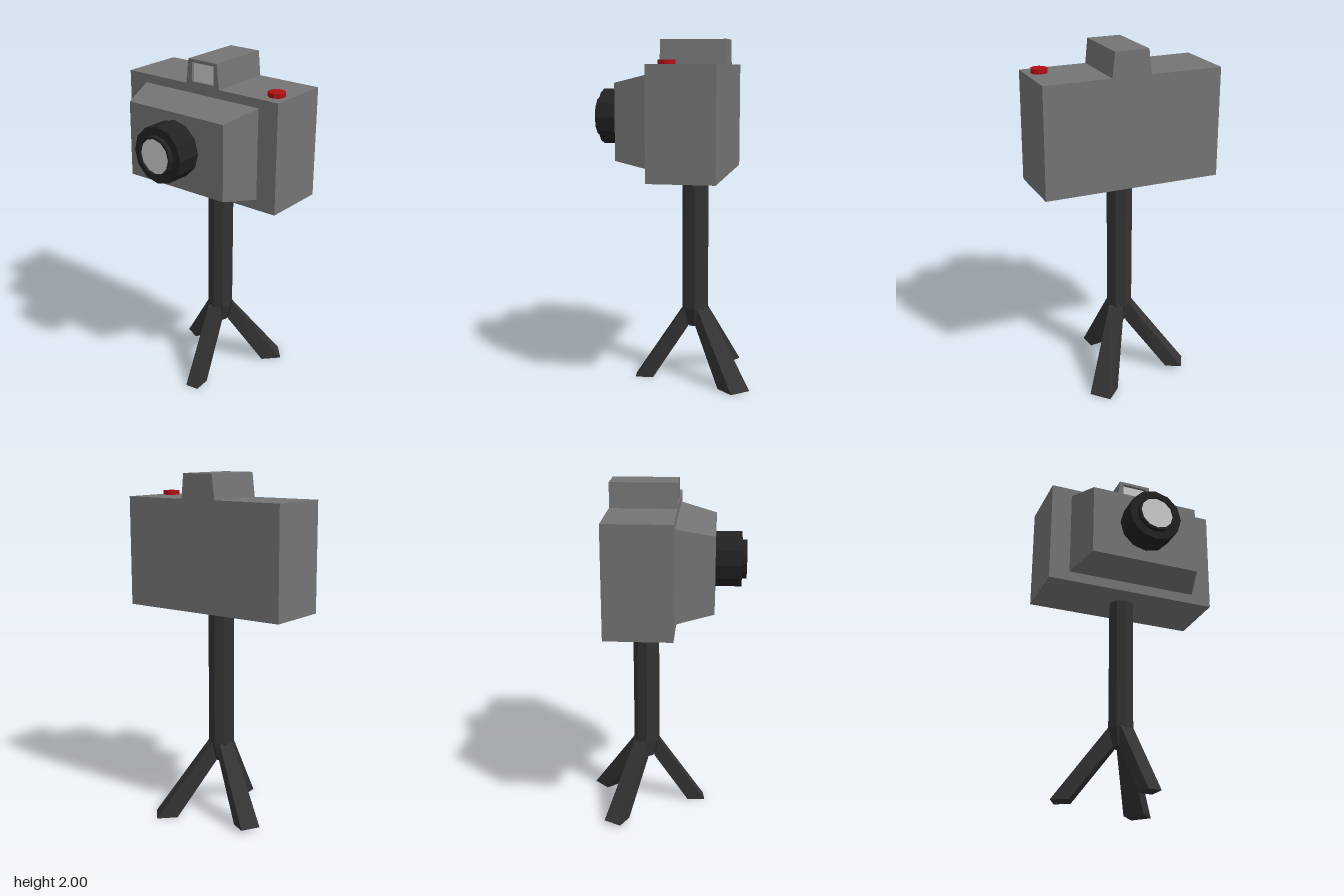
import * as THREE from 'three';
import { ConvexGeometry } from 'three/addons/geometries/ConvexGeometry.js';

const mat = (color, side = THREE.FrontSide) =>
  new THREE.MeshStandardMaterial({ color, flatShading: true, side });

export function createModel() {
  const model = new THREE.Group();
  const grey = mat(0x747474);
  const black = mat(0x333333);
  const lensBlack = mat(0x222222, THREE.DoubleSide);
  const glass = mat(0xcccccc);
  const red = mat(0xb01015);

  const add = (name, geometry, material, x = 0, y = 0, z = 0, parent = model) => {
    const mesh = new THREE.Mesh(geometry, material);
    mesh.name = name;
    mesh.position.set(x, y, z);
    parent.add(mesh);
    return mesh;
  };
  const hull = (points) => new ConvexGeometry(points.map((p) => new THREE.Vector3(...p)));
  const rect = (x0, x1, y0, y1, z) => [[x0, y0, z], [x1, y0, z], [x1, y1, z], [x0, y1, z]];

  // Camera body and the tapered lens plate
  add('cameraBody', new THREE.BoxGeometry(1.035, 0.63, 0.38), grey, 0, 1.545, -0.115);
  add('lensPlate', hull([
    ...rect(-0.395, 0.395, 1.29, 1.81, 0.075),
    ...rect(-0.328, 0.328, 1.33, 1.76, 0.288),
  ]), grey);

  // Viewfinder: trapezoid prism with a recessed window
  const outline = () => new THREE.Shape([[-0.097, 1.86], [0.131, 1.86], [0.117, 2], [-0.08, 2]]
    .map(([x, y]) => new THREE.Vector2(x, y)));
  const extrude = (shape, depth) =>
    new THREE.ExtrudeGeometry(shape, { depth, bevelEnabled: false });
  const frame = outline();
  frame.holes.push(new THREE.Path([[-0.055, 1.875], [-0.055, 1.982], [0.095, 1.982], [0.095, 1.875]]
    .map(([x, y]) => new THREE.Vector2(x, y))));
  const finder = new THREE.Group();
  finder.name = 'viewfinder';
  model.add(finder);
  add('viewfinderHousing', extrude(outline(), 0.36), grey, 0, 0, -0.305, finder);
  add('viewfinderFrame', extrude(frame, 0.02), grey, 0, 0, 0.055, finder);
  add('viewfinderWindow', new THREE.PlaneGeometry(0.15, 0.107), glass, 0.02, 1.9285, 0.057, finder);

  // Lens barrel with a stepped front ring
  const barrel = [[0.16, 0.28], [0.16, 0.435], [0.113, 0.435], [0.113, 0.463], [0.1, 0.463], [0.1, 0.44]]
    .map(([r, z]) => new THREE.Vector2(r, z));
  add('lensBarrel', new THREE.LatheGeometry(barrel, 12).rotateX(Math.PI / 2), lensBlack, 0, 1.56, 0);
  add('lensGlass', new THREE.CircleGeometry(0.1, 12), glass, 0, 1.56, 0.45);

  // Shutter button
  add('shutterButton', new THREE.CylinderGeometry(0.048, 0.048, 0.025, 10).rotateY(Math.PI / 2),
    red, 0.438, 1.8725, -0.027);

  // Tripod column, narrowing where the legs join
  const cx = 0.004, cz = -0.112, turn = 0.09;
  add('tripodColumn', new THREE.CylinderGeometry(0.076, 0.076, 0.81, 8).rotateY(turn), black, cx, 0.835, cz);
  add('legJoint', new THREE.CylinderGeometry(0.076, 0.048, 0.11, 8).rotateY(turn), black, cx, 0.375, cz);

  // Splayed legs: each foot is given by its four [x, z] corners and height
  const legs = [
    { name: 'frontLeg', y: 0, foot: [[0.01, 0.14], [0.09, 0.13], [0.02, 0.245], [0.1, 0.235]] },
    { name: 'backLeftLeg', y: 0, foot: [[0.13, -0.38], [0.215, -0.28], [0.215, -0.465], [0.3, -0.37]] },
    { name: 'backRightLeg', y: 0.02, foot: [[-0.225, -0.3], [-0.27, -0.2], [-0.31, -0.345], [-0.365, -0.245]] },
  ];
  for (const { name, y, foot } of legs) {
    const dx = foot.reduce((s, p) => s + p[0], 0) / 4 - cx;
    const dz = foot.reduce((s, p) => s + p[1], 0) / 4 - cz;
    const len = Math.hypot(dx, dz), ux = dx / len, uz = dz / len;
    const points = foot.map(([x, z]) => [x, y, z]);
    for (const side of [-1, 1]) {
      for (const [out, half, h] of [[0.068, 0.043, 0.43], [0.042, 0.036, 0.32]]) {
        points.push([cx + ux * out + uz * half * side, h, cz + uz * out - ux * half * side]);
      }
    }
    add(name, hull(points), black);
  }
  return model;
}
